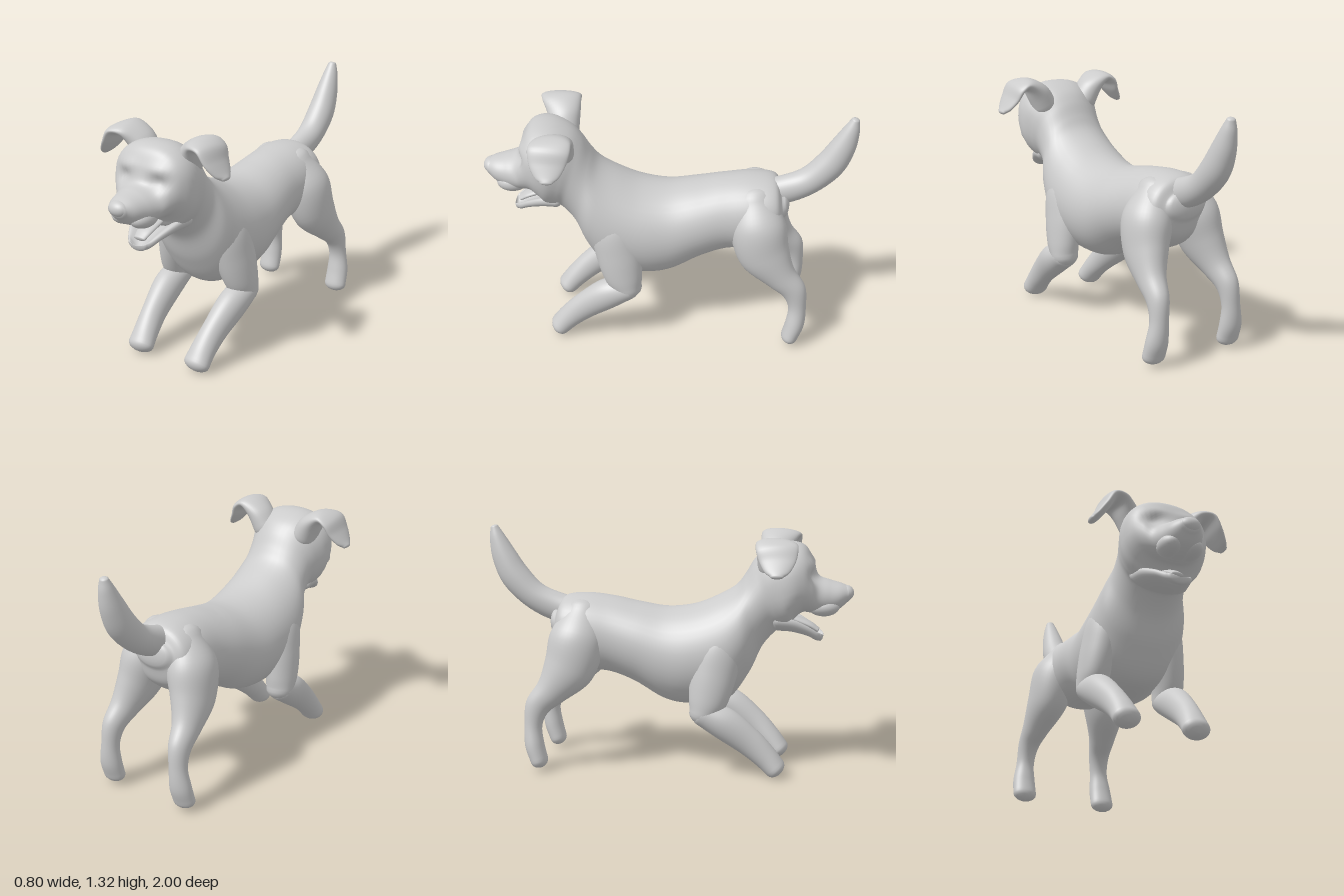
import * as THREE from 'three';

const V3 = (x, y, z) => new THREE.Vector3(x, y, z);
const skin = new THREE.MeshStandardMaterial({ color: 0xcccccc });
const SEG = 40;

// Smooth skin over rings { c: centre, u: half width, v: half height, e: roundness }, with domed ends.
// dish > 0 hollows the upper side of each ring.
function loft(name, rings, { cap = 0.5, dish = 0, steps = 6, rule } = {}) {
  const curves = ['c', 'u', 'v', 'e'].map(k => new THREE.CatmullRomCurve3(rings.map(r => r[k]), false, 'catmullrom', 0.5));
  const n = (rings.length - 1) * steps;
  const body = [];
  for (let i = 0; i <= n; i++) {
    const [c, u, v, e] = curves.map(k => k.getPoint(i / n));
    body.push({ c, u, v, e });
  }
  const dome = (end, before) => {
    const dir = end.c.clone().sub(before.c).normalize();
    const len = cap * Math.min(end.u.length(), end.v.length());
    return [1, 2, 3, 4, 5].map(k => {
      const a = k / 5 * Math.PI / 2, s = Math.max(Math.cos(a), 0.001);
      return {
        c: end.c.clone().addScaledVector(dir, len * Math.sin(a)),
        u: end.u.clone().multiplyScalar(s), v: end.v.clone().multiplyScalar(s), e: end.e
      };
    });
  };
  const all = [...dome(body[0], body[1]).reverse(), ...body, ...dome(body[n], body[n - 1])];
  const bend = (t, e) => Math.sign(t) * Math.abs(t) ** e;
  const pos = [], index = [];
  all.forEach((r, i) => {
    for (let j = 0; j < SEG; j++) {
      const a = j / SEG * Math.PI * 2;
      let s = bend(Math.sin(a), r.e.x);
      if (s > 0) s *= 1 - dish * s * s;
      const p = r.c.clone().addScaledVector(r.u, bend(Math.cos(a), r.e.x)).addScaledVector(r.v, s);
      if (rule) rule(p);
      pos.push(p.x, p.y, p.z);
      if (i < all.length - 1) {
        const k = (j + 1) % SEG, A = i * SEG, B = A + SEG;
        index.push(A + j, A + k, B + k, A + j, B + k, B + j);
      }
    }
  });
  const g = new THREE.BufferGeometry();
  g.setAttribute('position', new THREE.Float32BufferAttribute(pos, 3));
  g.setIndex(index);
  g.computeVertexNormals();
  const m = new THREE.Mesh(g, skin);
  m.name = name;
  return m;
}

// Rings from the side outline: [top z, top y, bottom z, bottom y, half width, roundness]
const outline = rows => rows.map(([tz, ty, bz, by, w, e = 1]) => ({
  c: V3(0, (ty + by) / 2, (tz + bz) / 2),
  u: V3(w, 0, 0),
  v: V3(0, (ty - by) / 2, (tz - bz) / 2),
  e: V3(e, 0, 0)
}));

// Rings square to a path: [x, y, z, half size along ref, half size across]
function limb(rows, side = 1, ref = V3(1, 0, 0)) {
  const pts = rows.map(r => V3(r[0] * side, r[1], r[2]));
  return rows.map((r, i) => {
    const t = pts[Math.min(i + 1, pts.length - 1)].clone().sub(pts[Math.max(i - 1, 0)]).normalize();
    const u = ref.clone().addScaledVector(t, -ref.dot(t)).normalize();
    const v = t.clone().cross(u);
    return { c: pts[i], u: u.multiplyScalar(r[3]), v: v.multiplyScalar(r[4]), e: V3(1, 0, 0) };
  });
}

function ball(name, p, r) {
  const m = new THREE.Mesh(new THREE.SphereGeometry(1, 28, 20), skin);
  m.name = name;
  m.position.set(...p);
  m.scale.set(...r);
  return m;
}

// Hollows for the closed eyes, with a soft bulge at each brow
function eyeSockets(p) {
  if (p.z < 0.66 || p.y < 0.95) return;
  const dx = Math.abs(p.x) - 0.11;
  const g = (y, rx, ry) => Math.exp(-((dx / rx) ** 2) - ((p.y - y) / ry) ** 2);
  p.z += 0.012 * g(1.15, 0.06, 0.03) - 0.026 * g(1.085, 0.05, 0.035);
}

export function createModel() {
  const dog = new THREE.Group();
  dog.name = 'dog';

  // One skin from rump through neck and skull to muzzle
  dog.add(loft('bodyAndHead', outline([
    [-0.61, 0.88, -0.63, 0.72, 0.12],
    [-0.57, 0.94, -0.59, 0.62, 0.185, 0.95],
    [-0.45, 0.955, -0.48, 0.54, 0.21, 0.95],
    [-0.30, 0.94, -0.32, 0.52, 0.21],
    [-0.15, 0.91, -0.18, 0.47, 0.228],
    [0, 0.89, -0.02, 0.38, 0.247],
    [0.15, 0.91, 0.12, 0.355, 0.262],
    [0.28, 0.965, 0.32, 0.38, 0.262],
    [0.37, 1.02, 0.44, 0.53, 0.24],
    [0.42, 1.085, 0.51, 0.68, 0.205],
    [0.465, 1.16, 0.58, 0.765, 0.20],
    [0.52, 1.215, 0.62, 0.785, 0.215, 0.92],
    [0.60, 1.25, 0.66, 0.81, 0.234, 0.85],
    [0.68, 1.255, 0.69, 0.85, 0.232, 0.85],
    [0.74, 1.23, 0.73, 0.88, 0.21, 0.88],
    [0.78, 1.16, 0.775, 0.875, 0.175, 0.95],
    [0.81, 1.08, 0.815, 0.868, 0.14],
    [0.87, 1.055, 0.86, 0.87, 0.115],
    [0.93, 1.038, 0.92, 0.895, 0.09],
    [0.97, 1.022, 0.965, 0.935, 0.058]
  ]), { rule: eyeSockets, cap: 0.5, steps: 7 }));

  const face = new THREE.Group();
  face.name = 'face';
  face.add(ball('nose', [0, 0.985, 0.955], [0.058, 0.042, 0.045]));

  // Open lower jaw with tongue
  face.add(loft('lowerJaw', outline([
    [0.58, 0.92, 0.60, 0.775, 0.165],
    [0.68, 0.90, 0.67, 0.77, 0.145],
    [0.76, 0.85, 0.75, 0.75, 0.11],
    [0.81, 0.81, 0.80, 0.725, 0.08],
    [0.83, 0.795, 0.82, 0.72, 0.06]
  ]), { dish: 1.6 }));
  face.add(loft('tongue', limb([
    [0, 0.87, 0.60, 0.05, 0.02], [0, 0.815, 0.75, 0.047, 0.018], [0, 0.78, 0.81, 0.035, 0.014]
  ])));

  // Lips and folded ears
  for (const side of [1, -1]) {
    face.add(ball('upperLip', [0.055 * side, 0.916, 0.84], [0.066, 0.052, 0.085]));
    face.add(loft('ear', limb([
      [0.13, 1.14, 0.57, 0.08, 0.07],
      [0.175, 1.215, 0.575, 0.09, 0.06],
      [0.235, 1.265, 0.59, 0.105, 0.037],
      [0.295, 1.25, 0.60, 0.11, 0.03],
      [0.33, 1.19, 0.605, 0.095, 0.025],
      [0.365, 1.14, 0.605, 0.065, 0.02],
      [0.385, 1.12, 0.605, 0.035, 0.015]
    ], side, V3(0, 0, 1)), { cap: 0.8 }));
  }
  dog.add(face);

  // Legs, mirrored
  for (const side of [1, -1]) {
    dog.add(loft('shoulder', limb([
      [0.11, 0.84, 0.31, 0.06, 0.08],
      [0.155, 0.70, 0.29, 0.105, 0.125],
      [0.19, 0.55, 0.262, 0.098, 0.125],
      [0.215, 0.42, 0.238, 0.083, 0.105],
      [0.22, 0.345, 0.215, 0.076, 0.078]
    ], side), { cap: 0.8 }));
    dog.add(loft('frontLeg', limb([
      [0.22, 0.35, 0.212, 0.076, 0.07],
      [0.217, 0.293, 0.33, 0.078, 0.088],
      [0.205, 0.195, 0.46, 0.066, 0.077],
      [0.195, 0.115, 0.545, 0.068, 0.066],
      [0.19, 0.05, 0.602, 0.075, 0.058]
    ], side), { cap: 0.7 }));
    dog.add(loft('hindLeg', limb([
      [0.09, 0.86, -0.46, 0.08, 0.10],
      [0.145, 0.72, -0.487, 0.125, 0.15],
      [0.18, 0.56, -0.53, 0.107, 0.14],
      [0.208, 0.44, -0.622, 0.074, 0.088],
      [0.222, 0.355, -0.697, 0.057, 0.068],
      [0.23, 0.25, -0.72, 0.05, 0.049],
      [0.237, 0.145, -0.713, 0.062, 0.052],
      [0.239, 0.057, -0.688, 0.066, 0.047]
    ], side), { cap: 0.9 }));
  }

  // Raised tail
  dog.add(loft('tail', limb([
    [0, 0.85, -0.50, 0.07, 0.07],
    [0, 0.875, -0.63, 0.068, 0.08],
    [0, 0.935, -0.755, 0.074, 0.076],
    [0, 1.04, -0.86, 0.075, 0.08],
    [0, 1.15, -0.92, 0.062, 0.068],
    [0, 1.25, -0.957, 0.042, 0.044],
    [0, 1.31, -0.973, 0.024, 0.022]
  ])));
  return dog;
}
